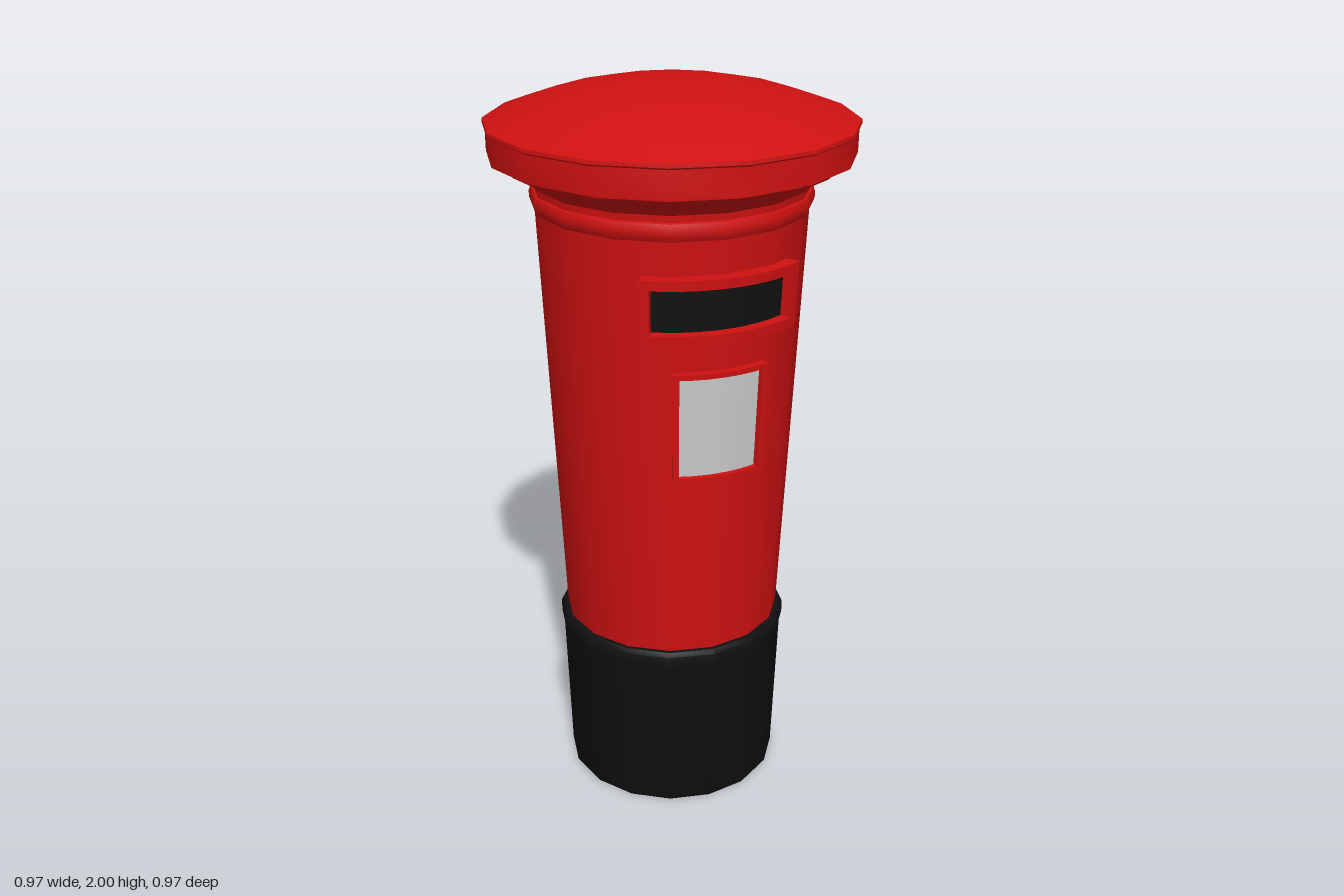
import * as THREE from 'three';
import { toCreasedNormals } from 'three/addons/utils/BufferGeometryUtils.js';

const SIDES = 16;
const red = new THREE.MeshStandardMaterial({ color: 0xd01111 });
const black = new THREE.MeshStandardMaterial({ color: 0x111111 });
const grey = new THREE.MeshStandardMaterial({ color: 0xcccccc });

// radius of the tapering pillar at height y
const bodyRadius = (y) => 0.302 + (y - 0.5) * 0.049;

function turned(name, profile, material) {
  const points = profile.map(([r, y]) => new THREE.Vector2(r, y));
  const geometry = toCreasedNormals(new THREE.LatheGeometry(points, SIDES), 0.6);
  const mesh = new THREE.Mesh(geometry, material);
  mesh.name = name;
  return mesh;
}

// block wrapped around the pillar: angles a0..a1 from the front, heights y0..y1,
// standing between the offsets d0..d1 from the pillar surface
function wrapped(name, a0, a1, y0, y1, d0, d1, material) {
  const segments = Math.max(1, Math.ceil((a1 - a0) / 0.13));
  const geometry = new THREE.BoxGeometry(1, 1, 1, segments, 1, 1);
  const p = geometry.attributes.position;
  for (let i = 0; i < p.count; i++) {
    const a = THREE.MathUtils.lerp(a0, a1, p.getX(i) + 0.5);
    const y = THREE.MathUtils.lerp(y0, y1, p.getY(i) + 0.5);
    const r = bodyRadius(y) + THREE.MathUtils.lerp(d0, d1, p.getZ(i) + 0.5);
    p.setXYZ(i, r * Math.sin(a), y, r * Math.cos(a));
  }
  const mesh = new THREE.Mesh(toCreasedNormals(geometry, 0.6), material);
  mesh.name = name;
  return mesh;
}

// four bars around a recessed panel
function framedPanel(name, half, y0, y1, barAngle, barHeight, depth, panelMaterial) {
  const group = new THREE.Group();
  group.name = name;
  const inner = half - barAngle;
  const low = y0 + barHeight, high = y1 - barHeight;
  group.add(
    wrapped('topBar', -half, half, high, y1, -0.012, depth, red),
    wrapped('bottomBar', -half, half, y0, low, -0.012, depth, red),
    wrapped('leftBar', inner, half, low, high, -0.012, depth, red),
    wrapped('rightBar', -half, -inner, low, high, -0.012, depth, red),
    wrapped('panel', -inner, inner, low, high, -0.012, 0.003, panelMaterial)
  );
  return group;
}

export function createModel() {
  const model = new THREE.Group();
  model.name = 'pillarBox';

  // black foot with a raised band at its top
  model.add(turned('base', [
    [0, 0], [0.292, 0], [0.299, 0.01], [0.315, 0.44], [0.321, 0.456],
    [0.321, 0.49], [0.314, 0.502], [0.295, 0.502]
  ], black));

  // tapering pillar
  model.add(turned('pillar', [
    [bodyRadius(0.48), 0.48], [bodyRadius(1.76), 1.76]
  ], red));

  // rounded collar ring
  model.add(turned('collar', [
    [0.35, 1.675], [0.364, 1.68], [0.372, 1.694], [0.373, 1.71],
    [0.368, 1.725], [0.35, 1.732]
  ], red));

  // flared cornice under the cap
  model.add(turned('cornice', [
    [0.352, 1.735], [0.363, 1.745], [0.378, 1.762], [0.402, 1.777],
    [0.425, 1.784], [0.44, 1.8], [0.442, 1.82]
  ], red));

  // overhanging domed cap
  model.add(turned('cap', [
    [0.4, 1.815], [0.479, 1.815], [0.48, 1.885], [0.487, 1.89], [0.486, 1.9],
    [0.42, 1.925], [0.33, 1.957], [0.22, 1.982], [0.11, 1.996], [0, 2]
  ], red));

  // letter slot and notice plate on the front
  model.add(framedPanel('letterSlot', 0.585, 1.42, 1.59, 0.06, 0.026, 0.034, black));
  model.add(framedPanel('noticePlate', 0.37, 1.03, 1.335, 0.045, 0.014, 0.018, grey));

  return model;
}
